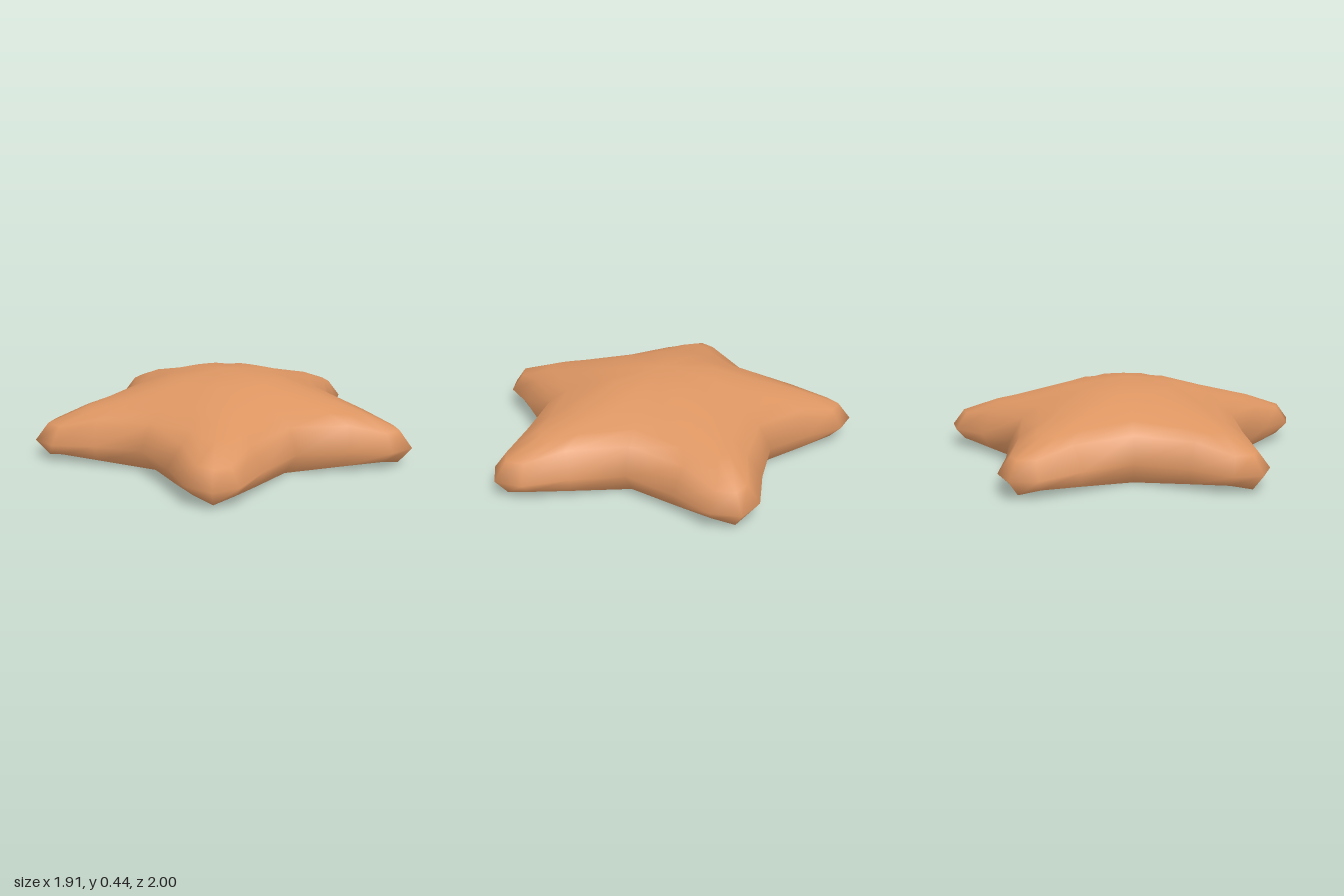
import * as THREE from 'three';

// One half arm per ring, from the rim up: [along, across, height]
// for the arm's ridge, tip corner, flank and the valley between two arms.
const valley = (r, y) => [r * Math.cos(Math.PI / 5), r * Math.sin(Math.PI / 5), y];
const RINGS = [
  [[0.98, 0, 0.02], [0.92, 0.1, 0.045], [0.74, 0.2, 0.03], valley(0.57, 0)],
  [[1.05, 0, 0.105], [0.975, 0.128, 0.107], [0.77, 0.24, 0.12], valley(0.675, 0.13)],
  [[0.98, 0, 0.195], [0.93, 0.08, 0.195], [0.745, 0.165, 0.24], valley(0.6, 0.255)],
  [[0.77, 0, 0.272], [0.74, 0.07, 0.268], [0.63, 0.13, 0.285], valley(0.51, 0.31)],
  [[0.5, 0, 0.34], [0.49, 0.07, 0.34], [0.45, 0.14, 0.34], valley(0.41, 0.35)],
  [[0.29, 0, 0.402], [0.285, 0.05, 0.402], [0.27, 0.11, 0.402], valley(0.28, 0.398)],
];
const CENTRE_X = 0.09;
const APEX_Y = 0.44;

// Hollow five-armed shell, open underneath
function starShell() {
  const positions = [];
  const index = [];
  for (const ring of RINGS) {
    const [ridge, corner, flank, dip] = ring;
    const mirror = ([a, b, y]) => [a, -b, y];
    const arm = [mirror(flank), mirror(corner), ridge, corner, flank, dip];
    for (let k = 0; k < 5; k++) {
      const t = Math.PI / 5 + (k * Math.PI * 2) / 5;
      const c = Math.cos(t), s = Math.sin(t);
      for (const [a, b, y] of arm) {
        positions.push(CENTRE_X + a * c - b * s, y, a * s + b * c);
      }
    }
  }
  const n = 30;
  const apex = RINGS.length * n;
  positions.push(CENTRE_X, APEX_Y, 0);

  for (let r = 0; r < RINGS.length; r++) {
    for (let i = 0; i < n; i++) {
      const j = (i + 1) % n;
      const a = r * n + i, b = r * n + j;
      if (r === RINGS.length - 1) index.push(a, apex, b);
      else index.push(a, a + n, b, b, a + n, b + n);
    }
  }
  const geometry = new THREE.BufferGeometry();
  geometry.setAttribute('position', new THREE.Float32BufferAttribute(positions, 3));
  geometry.setIndex(index);
  geometry.computeVertexNormals();
  return geometry;
}

export function createModel() {
  const group = new THREE.Group();
  group.name = 'starfish';
  const skin = new THREE.MeshStandardMaterial({ color: 0xdc9562, side: THREE.DoubleSide });
  skin.name = 'sandy orange';
  const shell = new THREE.Mesh(starShell(), skin);
  shell.name = 'starShell';
  group.add(shell);
  return group;
}
